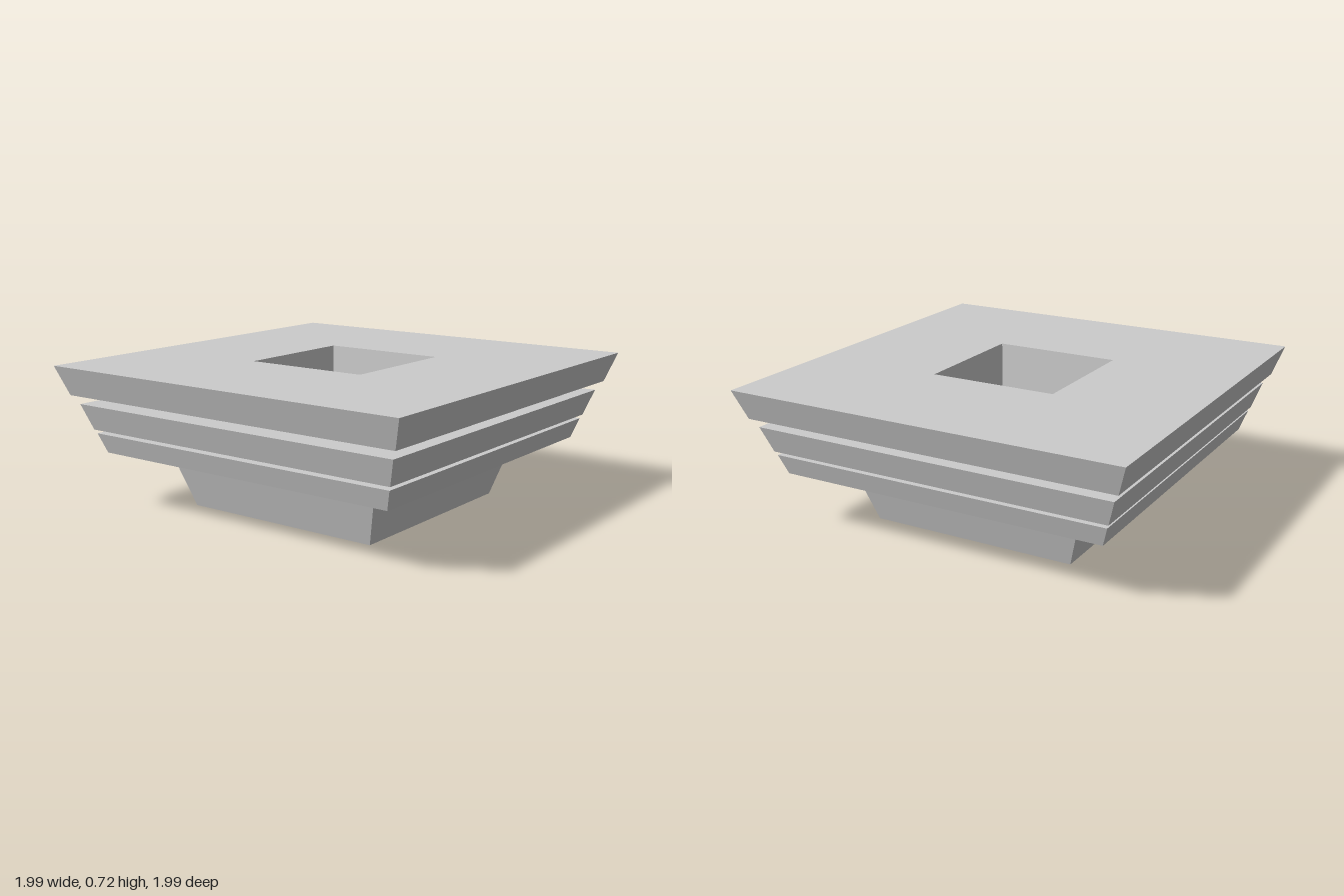
import * as THREE from 'three';

// Square ring swept around y: profile holds [half width, height] points,
// running upward on outer faces and downward on inner faces.
function squareRing(name, profile) {
  const points = profile.map(([half, y]) => new THREE.Vector2(half * Math.SQRT2, y));
  const geometry = new THREE.LatheGeometry(points, 4, Math.PI / 4).toNonIndexed();
  geometry.computeVertexNormals();
  const material = new THREE.MeshStandardMaterial({ color: 0xcccccc, flatShading: true });
  const mesh = new THREE.Mesh(geometry, material);
  mesh.name = name;
  return mesh;
}

export function createModel() {
  const group = new THREE.Group();
  group.name = 'steppedSquareCapital';
  const hole = 0.322, recess = 0.5;

  // Consecutive strips of one closed cross-section
  const parts = {
    foot: [[hole, 0], [0.53, 0], [0.617, 0.285]],
    lowerTier: [[0.617, 0.285], [0.83, 0.285], [0.863, 0.383], [0.637, 0.383]],
    lowerNeck: [[0.637, 0.383], [0.6, 0.402]],
    middleTier: [[0.6, 0.402], [0.873, 0.402], [0.916, 0.53], [0.525, 0.53]],
    upperNeck: [[0.525, 0.53], [0.538, 0.575]],
    topTier: [[0.538, 0.575], [0.947, 0.575], [0.997, 0.72], [hole, 0.72]],
    upperShaft: [[hole, 0.72], [hole, 0.48]],
    innerRecess: [[hole, 0.48], [recess, 0.48], [recess, 0.425], [hole, 0.425]],
    lowerShaft: [[hole, 0.425], [hole, 0]],
  };
  for (const [name, profile] of Object.entries(parts)) group.add(squareRing(name, profile));
  return group;
}
